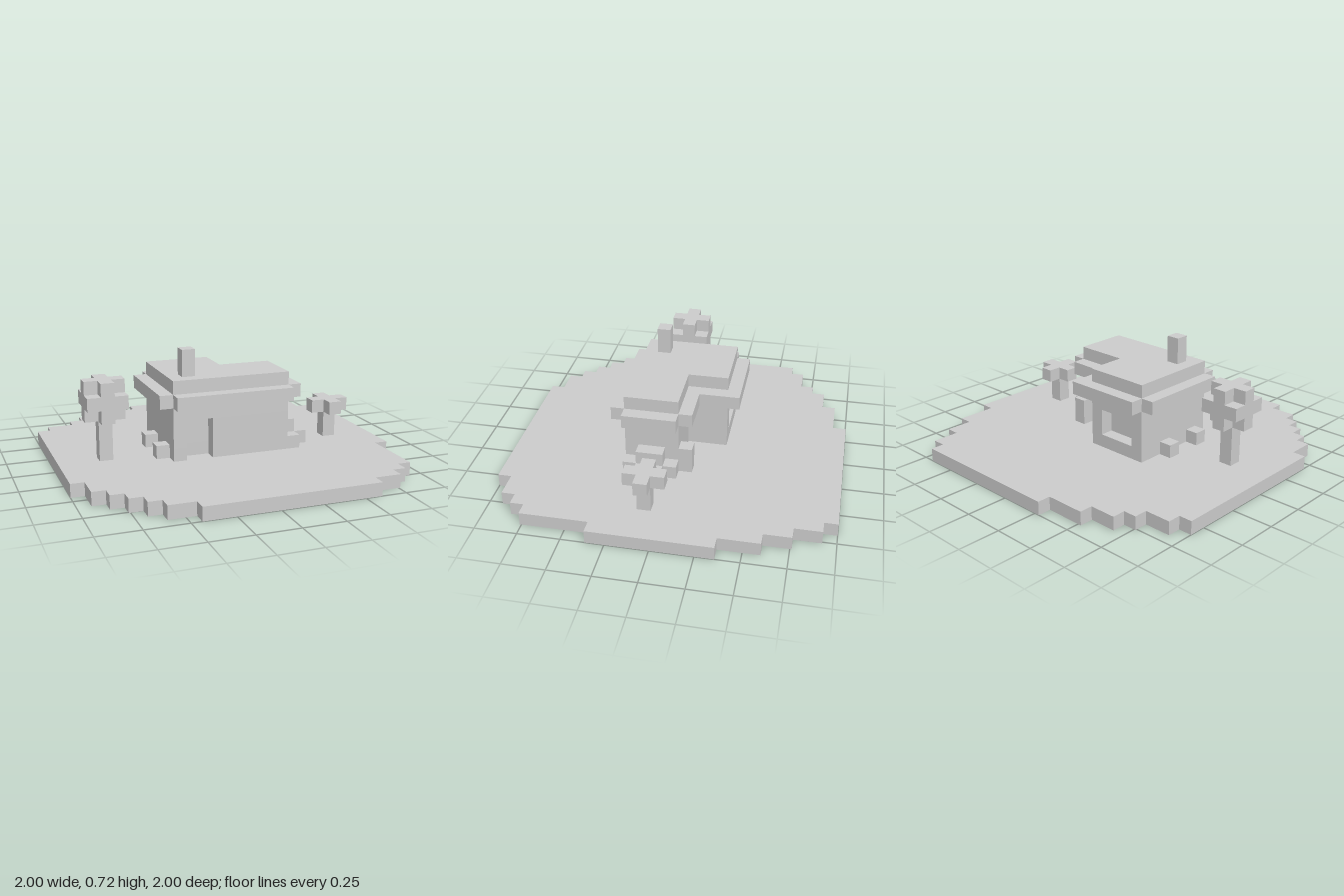
import * as THREE from 'three';

const U = 0.08; // one block
const material = new THREE.MeshStandardMaterial({ color: 0xcccccc, flatShading: true });

function mesh(name, geometry, parent) {
  const m = new THREE.Mesh(geometry, material);
  m.name = name;
  parent.add(m);
  return m;
}

// Box given by its limits on each axis
function block(name, parent, x0, x1, y0, y1, z0, z1) {
  const m = mesh(name, new THREE.BoxGeometry(x1 - x0, y1 - y0, z1 - z0), parent);
  m.position.set((x0 + x1) / 2, (y0 + y1) / 2, (z0 + z1) / 2);
  return m;
}

// Upright prism over a floor plan of [x, z] corners
function prism(name, parent, plan, y0, y1, holes = []) {
  const toPath = (pts) => pts.map(([x, z]) => new THREE.Vector2(x, -z));
  const shape = new THREE.Shape(toPath(plan));
  holes.forEach((h) => shape.holes.push(new THREE.Path(toPath(h))));
  const g = new THREE.ExtrudeGeometry(shape, { depth: y1 - y0, bevelEnabled: false });
  g.rotateX(-Math.PI / 2).translate(0, y0, 0);
  return mesh(name, g, parent);
}

export function createModel() {
  const model = new THREE.Group();
  model.name = 'cottageOnIsland';

  // Island: rows of [z start, z end, x left, x right]
  const rows = [
    [-1, -0.92, -0.28, 0.68], [-0.92, -0.84, -0.52, 0.76], [-0.84, -0.76, -0.68, 0.76],
    [-0.76, -0.68, -0.76, 0.84], [-0.68, -0.6, -0.92, 0.84], [-0.6, -0.36, -1, 0.92],
    [-0.36, 0.36, -1, 1], [0.36, 0.44, -1, 0.92], [0.44, 0.6, -0.92, 0.92],
    [0.6, 0.68, -0.84, 0.92], [0.68, 0.76, -0.76, 0.92], [0.76, 0.84, -0.68, 0.84],
    [0.84, 0.92, -0.6, 0.76], [0.92, 1, -0.44, 0.6],
  ];
  const right = [], left = [];
  for (const [z0, z1, xl, xr] of rows) {
    right.push([xr, z0], [xr, z1]);
    left.push([xl, z0], [xl, z1]);
  }
  const outline = [...right, ...left.reverse()].filter(
    // drop corners in the middle of straight edges
    ([x, z], i, a) => {
      const p = a[(i + a.length - 1) % a.length], n = a[(i + 1) % a.length];
      return !((p[0] === x && n[0] === x) || (p[1] === z && n[1] === z));
    });
  prism('island', model, outline, 0, U,
    [[[-0.04, -0.04], [0.04, -0.04], [0.04, 0.04], [-0.04, 0.04]]]);

  // House walls: L-shaped plan with a recessed door in front and window at the back
  const house = new THREE.Group();
  house.name = 'house';
  model.add(house);
  const door = [[-0.12, 0.28], [-0.12, 0.2], [-0.28, 0.2], [-0.28, 0.28]];
  const window = [[-0.28, -0.28], [-0.28, -0.2], [-0.04, -0.2], [-0.04, -0.28]];
  const wallPlan = (front, back) => [
    [-0.36, -0.28], ...back, [0.04, -0.28], [0.04, -0.04], [0.36, -0.04],
    [0.36, 0.28], ...front, [-0.36, 0.28],
  ];
  prism('lowerWall', house, wallPlan(door, []), 0.08, 0.16);
  prism('middleWall', house, wallPlan(door, window), 0.16, 0.32);
  prism('upperWall', house, wallPlan([], []), 0.32, 0.4);

  // Roof: eaves one block wider than the walls, then the top layer
  prism('eaves', house, [
    [-0.36, -0.36], [0.12, -0.36], [0.12, -0.12], [0.36, -0.12], [0.36, -0.04],
    [0.44, -0.04], [0.44, 0.28], [0.36, 0.28], [0.36, 0.36], [-0.36, 0.36],
    [-0.36, 0.28], [-0.44, 0.28], [-0.44, -0.28], [-0.36, -0.28],
  ], 0.4, 0.48);
  prism('roofTop', house, wallPlan([], []), 0.48, 0.56);
  block('chimney', house, -0.28, -0.2, 0.56, 0.72, 0.12, 0.2);

  // Bushes stacked against the walls
  const bushes = [
    [0.36, 0.44, 0.08, 0.24, 0.04, 0.2],
    [0.36, 0.44, 0.08, 0.16, 0.2, 0.28],
    [0.36, 0.44, 0.08, 0.16, -0.04, 0.04],
    [0.44, 0.52, 0.08, 0.16, 0.04, 0.2],
    [0.28, 0.36, 0.08, 0.24, -0.12, -0.04],
    [-0.44, -0.36, 0.08, 0.16, -0.12, -0.04],
    [-0.44, -0.36, 0.08, 0.16, 0.12, 0.2],
  ];
  bushes.forEach((b) => block('bush', model, ...b));

  // Flat cross of five blocks
  const cross = (cx, cz) => {
    const a = U / 2, b = 1.5 * U;
    return [[a, b], [a, a], [b, a], [b, -a], [a, -a], [a, -b],
      [-a, -b], [-a, -a], [-b, -a], [-b, a], [-a, a], [-a, b]]
      .map(([x, z]) => [cx + x, cz + z]);
  };

  // Tall tree: rounded cube crown without its eight corners
  const tree = new THREE.Group();
  tree.name = 'tallTree';
  model.add(tree);
  block('trunk', tree, -0.76, -0.68, 0.08, 0.32, 0.04, 0.12);
  prism('crownBottom', tree, cross(-0.72, 0.08), 0.32, 0.4);
  block('crownMiddle', tree, -0.84, -0.6, 0.4, 0.48, -0.04, 0.2);
  prism('crownTop', tree, cross(-0.72, 0.08), 0.48, 0.56);

  // Small tree with a flat crown
  const sapling = new THREE.Group();
  sapling.name = 'smallTree';
  model.add(sapling);
  block('trunk', sapling, 0.68, 0.76, 0.08, 0.24, 0.04, 0.12);
  prism('crown', sapling, cross(0.72, 0.08), 0.24, 0.32);

  return model;
}
